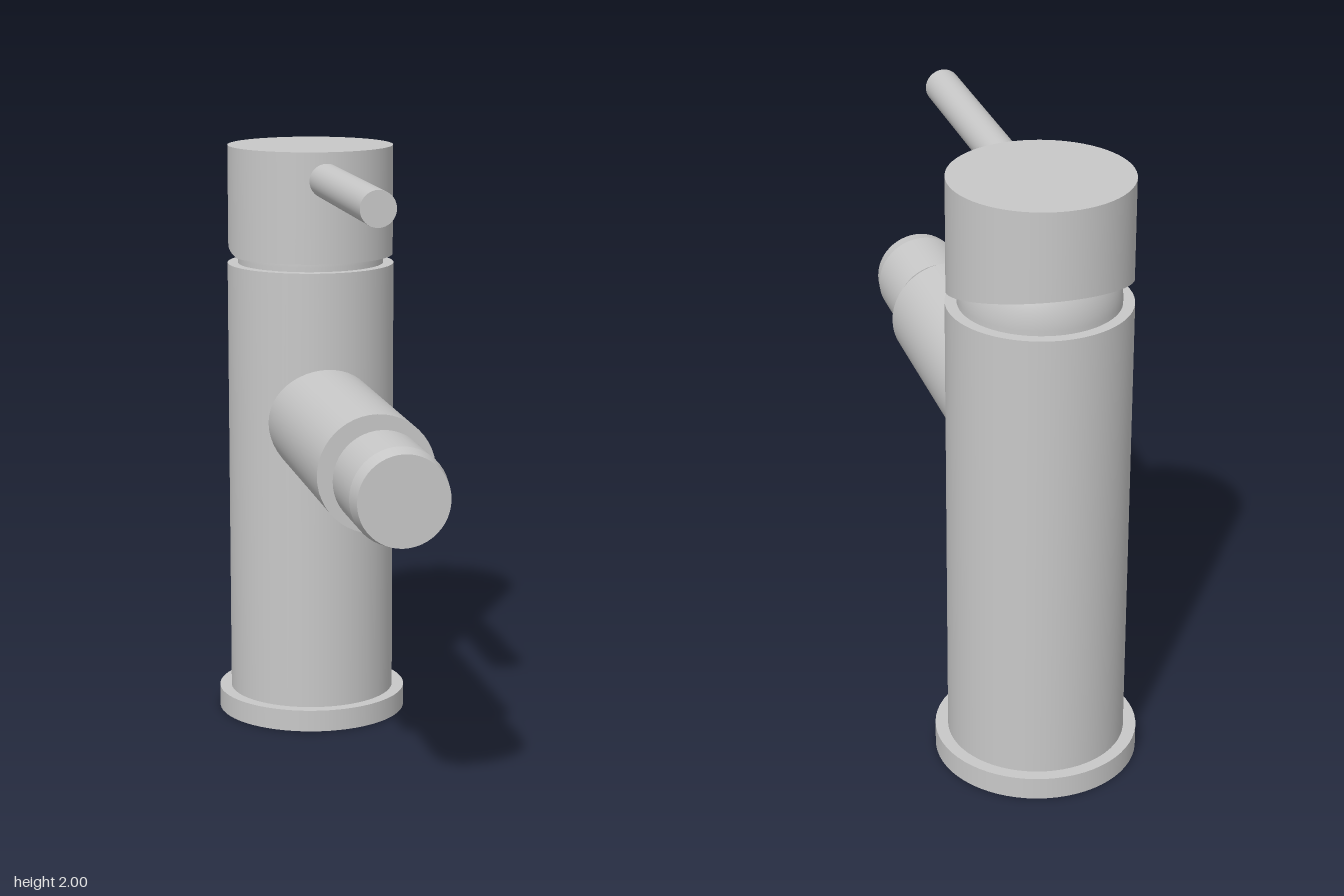
import * as THREE from 'three';

const AXIS_Z = -0.548; // vertical axis of the tap body
const SPOUT_Y = 1.077;

export function createModel() {
  const model = new THREE.Group();
  const metal = new THREE.MeshStandardMaterial({ color: 0xc8c8c8 });
  metal.name = 'brushed metal';

  const add = (name, geometry, x, y, z, parent = model) => {
    const mesh = new THREE.Mesh(geometry, metal);
    mesh.name = name;
    mesh.position.set(x, y, z);
    parent.add(mesh);
    return mesh;
  };
  // Upright cylinder between two heights on the body axis
  const upright = (name, r, y0, y1) =>
    add(name, new THREE.CylinderGeometry(r, r, y1 - y0, 64), 0, (y0 + y1) / 2, AXIS_Z);
  // Forward-pointing cylinder between two depths
  const forward = (name, rBack, rFront, y, z0, z1, openEnded = false) =>
    add(name, new THREE.CylinderGeometry(rFront, rBack, z1 - z0, 48, 1, openEnded).rotateX(Math.PI / 2),
      0, y, (z0 + z1) / 2);

  // Body
  upright('baseFlange', 0.328, 0, 0.075);
  upright('body', 0.287, 0.075, 1.595);

  // Ball joint under the handle cap
  upright('jointCollar', 0.251, 1.59, 1.61);
  add('jointBall', new THREE.SphereGeometry(0.251, 64, 16, 0, Math.PI * 2, 0, Math.PI / 2), 0, 1.61, AXIS_Z);

  // Spout and aerator
  forward('spout', 0.19, 0.19, SPOUT_Y, -0.5, 0.503);
  forward('spoutNeck', 0.067, 0.067, SPOUT_Y, 0.49, 0.59);
  forward('aerator', 0.155, 0.155, SPOUT_Y, 0.575, 0.815);
  forward('aeratorTip', 0.155, 0.144, SPOUT_Y, 0.815, 0.877);

  // Handle cap: underside flat at the front, sloping up toward the back
  const cap = new THREE.Group();
  cap.name = 'handleCap';
  cap.position.z = AXIS_Z;
  model.add(cap);
  const R = 0.284, TOP = 2, LOW = 1.625, SEGMENTS = 64;
  const crease = (3 / SEGMENTS) * Math.PI * 2;
  const creaseZ = R * Math.sin(crease);
  const underside = z => LOW + Math.max(0, creaseZ - z) * 0.258;

  const wall = new THREE.CylinderGeometry(R, R, 1, SEGMENTS, 1, true);
  const p = wall.attributes.position;
  for (let i = 0; i < p.count; i++) p.setY(i, p.getY(i) > 0 ? TOP : underside(p.getZ(i)));
  add('capWall', wall, 0, 0, 0, cap);
  add('capTop', new THREE.CircleGeometry(R, SEGMENTS).rotateX(-Math.PI / 2), 0, TOP, 0, cap);

  const capBottom = (name, start, end, divisions) => {
    const shape = new THREE.Shape();
    shape.absarc(0, 0, R, start, end, false);
    const g = new THREE.ShapeGeometry(shape, divisions).rotateX(Math.PI / 2);
    const q = g.attributes.position;
    for (let i = 0; i < q.count; i++) q.setY(i, underside(q.getZ(i)));
    g.computeVertexNormals();
    add(name, g, 0, 0, 0, cap);
  };
  capBottom('capFlatUnderside', crease, Math.PI - crease, 13);
  capBottom('capSlopedUnderside', Math.PI - crease, Math.PI * 2 + crease, 19);

  // Lever
  forward('lever', 0.058, 0.058, 1.904, -0.32, 0.515);

  return model;
}
